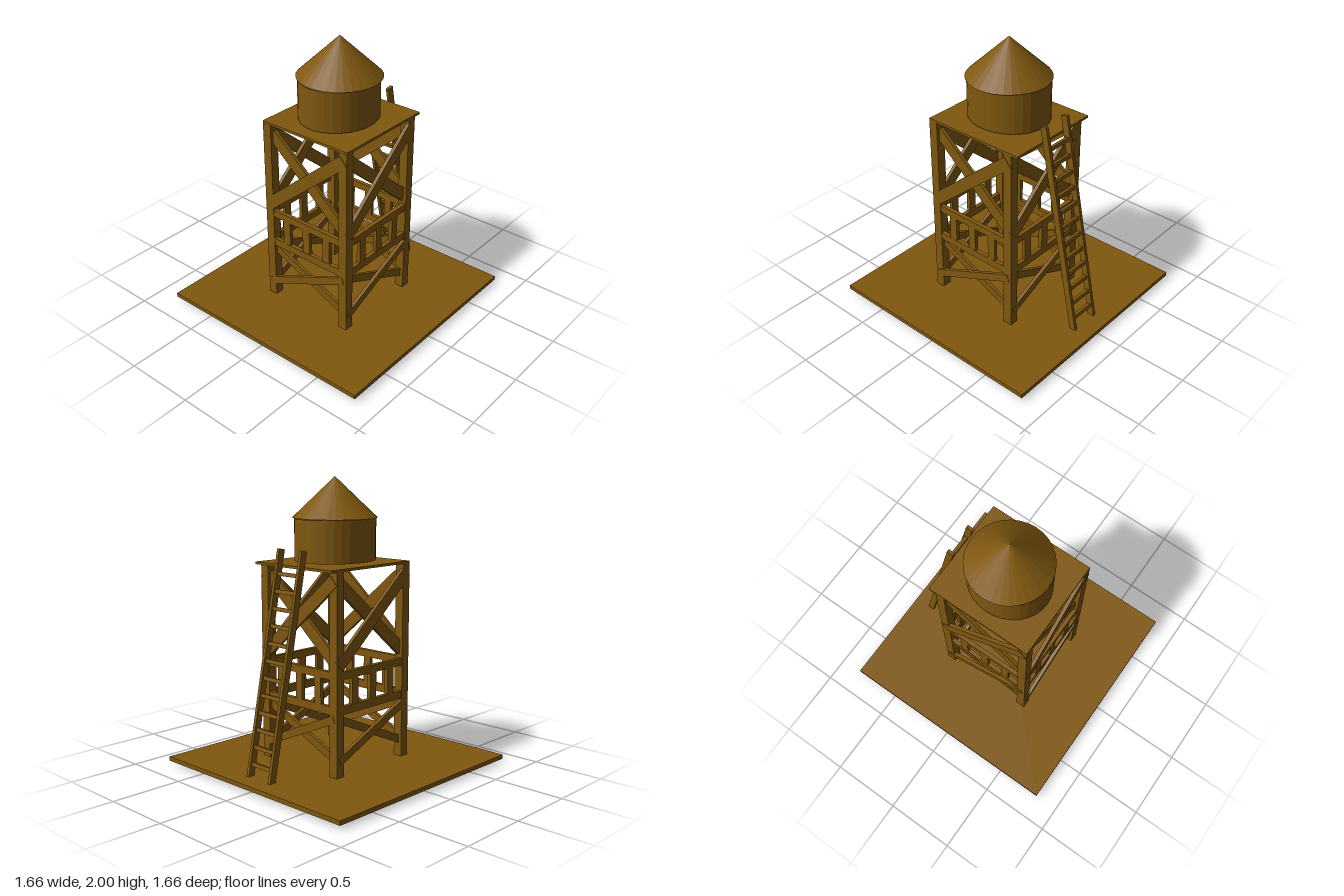
import * as THREE from 'three';

const wood = new THREE.MeshStandardMaterial({ color: 0x80580f, flatShading: true });

function add(parent, name, geometry, x, y, z) {
  const mesh = new THREE.Mesh(geometry, wood);
  mesh.name = name;
  mesh.position.set(x, y, z);
  parent.add(mesh);
  return mesh;
}

function box(parent, name, w, h, d, x, y, z) {
  return add(parent, name, new THREE.BoxGeometry(w, h, d), x, y, z);
}

// One side of the tower: leg, two rails with balusters, two crossed braces
function towerSide() {
  const side = new THREE.Group();
  side.name = 'towerSide';
  box(side, 'leg', 0.066, 1.358, 0.066, -0.324, 0.734, 0.324);
  box(side, 'upperRail', 0.6, 0.052, 0.03, 0, 0.736, 0.338);
  box(side, 'lowerRail', 0.6, 0.055, 0.03, 0, 0.503, 0.338);
  for (const x of [-0.176, 0, 0.176]) {
    box(side, 'baluster', 0.06, 0.19, 0.028, x, 0.62, 0.338);
  }
  const crosses = [
    { name: 'upperBrace', y: 1.08, slope: 0.845, width: 0.086 },
    { name: 'lowerBrace', y: 0.307, slope: 0.44, width: 0.054 },
  ];
  for (const c of crosses) {
    const angle = Math.atan(c.slope);
    const length = 0.66 / Math.cos(angle);
    // the rising brace laps over the legs, the falling one sits behind it
    box(side, c.name, length, c.width, 0.025, 0, c.y, 0.348).rotation.z = angle;
    box(side, c.name, length - 0.06, c.width, 0.025, 0, c.y, 0.322).rotation.z = -angle;
  }
  return side;
}

// Leaning ladder; its local y axis runs along the rails
function ladder() {
  const group = new THREE.Group();
  group.name = 'ladder';
  const rise = 1.53, run = 0.305;
  const length = Math.hypot(rise, run);
  for (const s of [-1, 1]) {
    box(group, 'ladderRail', 0.023, length, 0.048, s * 0.104, length / 2, 0);
  }
  for (let i = 0; i < 13; i++) {
    box(group, 'rung', 0.2, 0.026, 0.024, 0, 0.017 + i * 0.115, 0);
  }
  group.position.set(0.018, 0.005, -0.701);
  group.rotation.x = Math.atan2(run, rise);
  return group;
}

export function createModel() {
  const model = new THREE.Group();
  model.name = 'waterTower';

  box(model, 'base', 1.66, 0.03, 1.66, 0, 0.04, 0);

  // Square timber frame, the same on all four sides
  const frame = new THREE.Group();
  frame.name = 'frame';
  for (let i = 0; i < 4; i++) {
    const side = towerSide();
    side.rotation.y = i * Math.PI / 2;
    frame.add(side);
  }
  frame.position.set(0.022, 0, 0.013);
  model.add(frame);

  box(model, 'platform', 0.715, 0.017, 0.765, 0.022, 1.422, -0.013);

  // Slightly oval tank under a conical roof
  const tank = add(model, 'tank', new THREE.CylinderGeometry(0.262, 0.262, 0.283, 32), 0.008, 1.582, -0.003);
  tank.scale.z = 1.11;
  add(model, 'roof', new THREE.ConeGeometry(0.288, 0.273, 32), 0.01, 1.8635, -0.005);

  model.add(ladder());
  return model;
}
